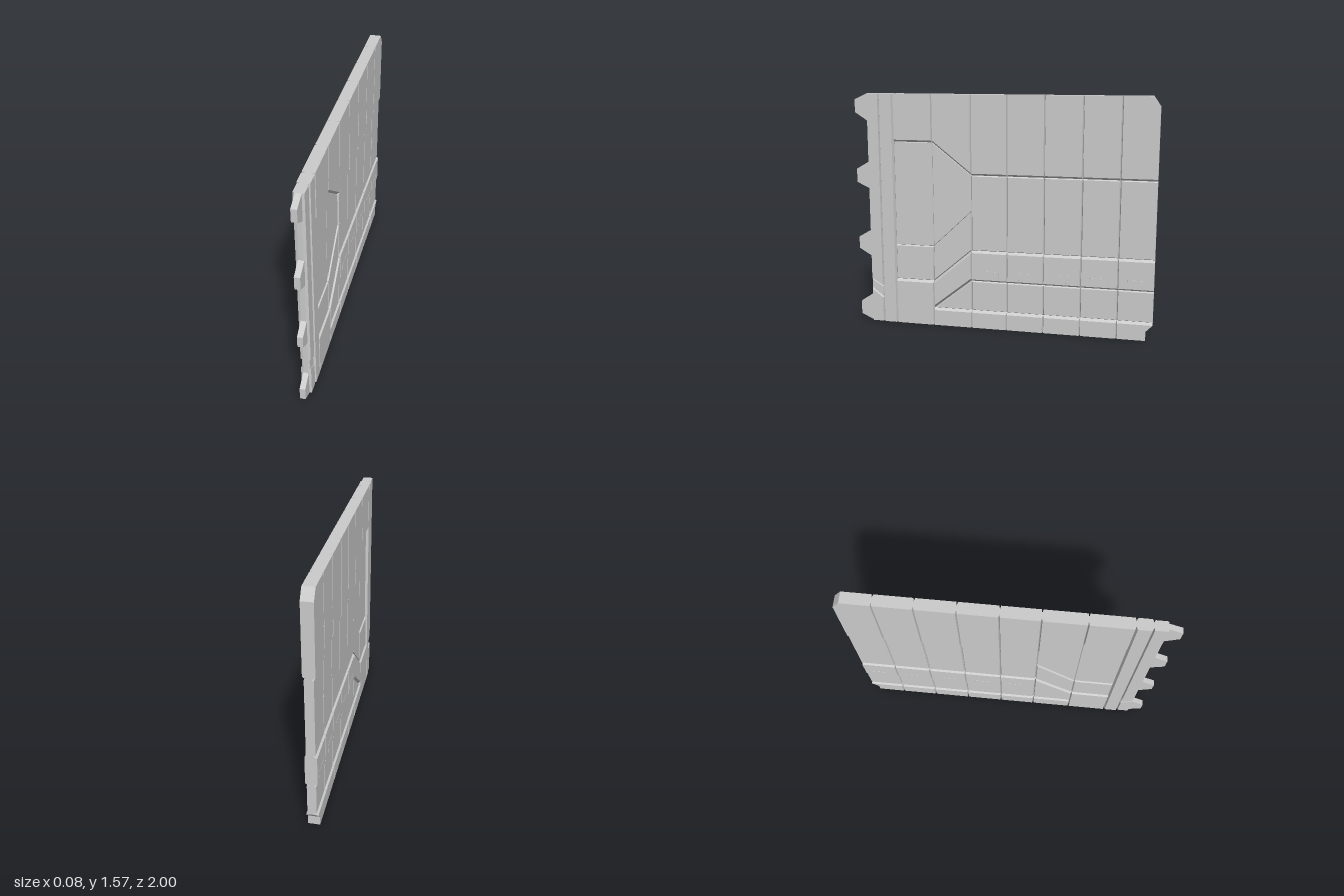
import * as THREE from 'three';

const H = 1.565;                 // door height
const CORE = 0.015, POCKET = 0.02, MID = 0.028, OUTER = 0.037; // half thicknesses
const SEAMS = [0.2, -0.04, -0.285, -0.53, -0.77, -1];          // column joints along z

const material = new THREE.MeshStandardMaterial({ color: 0xcccccc, flatShading: true });

// Edges on the outer border of the door stay square, the rest slope inward
const isBorder = (p, q) =>
  (p.x >= 0.95 && q.x >= 0.95) || (p.y === 0 && q.y === 0) || (p.y === H && q.y === H);

// Plate with sloped edges: outline in [z, y], rising from x0 to x1 on one side (s = 1 or -1)
function plateGeometry(outline, x0, x1, flat, steep, s) {
  const pts = outline.map(([z, y]) => new THREE.Vector2(-z, y));
  if (THREE.ShapeUtils.area(pts) < 0) pts.reverse();
  const n = pts.length;
  const edges = pts.map((p, i) => {
    const q = pts[(i + 1) % n];
    const d = q.clone().sub(p).normalize();
    const inset = isBorder(p, q) ? 0 : (Math.abs(d.x) < 0.01 ? steep : flat);
    return { p: new THREE.Vector2(p.x - d.y * inset, p.y + d.x * inset), d };
  });
  const top = pts.map((_, i) => {
    const a = edges[(i + n - 1) % n], b = edges[i];
    const cross = a.d.cross(b.d);
    if (Math.abs(cross) < 1e-4) return b.p.clone();
    return a.p.clone().addScaledVector(a.d, b.p.clone().sub(a.p).cross(b.d) / cross);
  });
  const out = [];
  const tri = (...v) => {
    if (s < 0) v.reverse();
    for (const [p, x] of v) out.push(s * x, p.y, -p.x);
  };
  for (const [a, b, c] of THREE.ShapeUtils.triangulateShape(top, [])) {
    tri([top[a], x1], [top[b], x1], [top[c], x1]);
  }
  for (let i = 0; i < n; i++) {
    const j = (i + 1) % n;
    tri([pts[i], x0], [pts[j], x0], [top[j], x1]);
    tri([pts[i], x0], [top[j], x1], [top[i], x1]);
  }
  const g = new THREE.BufferGeometry();
  g.setAttribute('position', new THREE.Float32BufferAttribute(out, 3));
  g.computeVertexNormals();
  return g;
}

const rect = (z0, z1, y0, y1) => [[z0, y0], [z0, y1], [z1, y1], [z1, y0]];

export function createModel() {
  const door = new THREE.Group();
  door.name = 'slidingDoor';

  // Adds the same plate to both faces of the door
  function plate(name, outline, x0, x1, flat = 0, steep = flat) {
    for (const s of [1, -1]) {
      const mesh = new THREE.Mesh(plateGeometry(outline, x0, x1, flat, steep, s), material);
      mesh.name = name;
      door.add(mesh);
    }
  }
  const outer = (name, o, steep = 0.005) => plate(name, o, CORE, OUTER, 0.014, steep);
  const mid = (name, o) => plate(name, o, CORE, MID, 0.006, 0.006);

  // Core with clipped rear corners
  plate('core', [[0.915, 0], [0.915, H], [-0.955, H], [-1, 1.5], [-1, 0.11], [-0.955, 0.06], [-0.955, 0]], 0, CORE);

  // Interlocking teeth on the front edge
  for (const [a, b, c, d] of [[1.385, 1.44, 1.525, H], [0.93, 0.97, 1.06, 1.11], [0.46, 0.51, 0.59, 0.64], [0, 0.04, 0.13, 0.185]]) {
    plate('tooth', [[0.915, a], [1, b], [1, c], [0.915, d]], 0, 0.018);
  }

  // Front edge strip, broken by a slanted notch near the bottom
  plate('edgeStripLower', [[0.915, 0], [0.915, 0.235], [0.83, 0.17], [0.83, 0]], CORE, 0.032, 0.005);
  plate('edgeStripNotch', [[0.915, 0.235], [0.915, 0.3], [0.83, 0.25], [0.83, 0.17]], CORE, 0.025, 0.005);
  plate('edgeStripUpper', [[0.915, 0.3], [0.915, H], [0.83, H], [0.83, 0.25]], CORE, 0.032, 0.005);
  outer('frontPost', rect(0.83, 0.73, 0, H), 0.009);

  // Panels around the pocket
  outer('upperPanel', rect(0.73, 0.465, 1.25, H));
  outer('upperPanel', [[0.465, 1.25], [0.465, H], [0.2, H], [0.2, 1.04]]);
  outer('lowerPanel', rect(0.73, 0.465, 0, 0.31));
  outer('slantedLedge', [[0.465, 0.12], [0.465, 0.31], [0.2, 0.535], [0.2, 0.33]]);
  outer('sill', rect(0.465, 0.2, 0, 0.12));

  // Deep pocket floor and the step below it
  const pocket = [rect(0.73, 0.465, 0.55, 1.25), [[0.465, 0.55], [0.465, 1.25], [0.2, 1.04], [0.2, 0.8]]];
  for (const o of pocket) plate('pocketFloor', o, CORE, POCKET, 0.003);
  mid('pocketStep', rect(0.73, 0.465, 0.31, 0.55));
  mid('pocketStep', [[0.465, 0.31], [0.465, 0.55], [0.2, 0.8], [0.2, 0.535]]);
  mid('lowerRecess', [[0.465, 0.12], [0.2, 0.33], [0.2, 0.12]]);

  // Columns of panels toward the rear edge
  for (let i = 0; i < SEAMS.length - 1; i++) {
    const a = SEAMS[i], b = SEAMS[i + 1], last = b === -1;
    outer('upperPanel', last ? [[a, 1.04], [a, H], [-0.955, H], [-1, 1.5], [-1, 1.04]] : rect(a, b, 1.04, H));
    mid('centrePanel', rect(a, b, 0.535, 1.04));
    outer('ledge', rect(a, b, 0.325, 0.535));
    mid('lowerRecess', rect(a, b, 0.12, 0.325));
    outer('sill', last ? [[a, 0], [a, 0.12], [-1, 0.12], [-1, 0.11], [-0.955, 0.06], [-0.955, 0]] : rect(a, b, 0, 0.12));

    // Raised pad on each ledge
    const z = 0.13 - i * 0.24;
    plate('ledgePad', rect(z, z - 0.118, 0.35, 0.4), OUTER - 0.002, OUTER + 0.001, 0.001);
  }

  // Rivets beside the seams
  const rivet = new THREE.CylinderGeometry(0.005, 0.005, 0.006, 6).rotateZ(Math.PI / 2);
  for (const z of SEAMS.slice(0, -1)) {
    for (const [y, x] of [[1.25, OUTER], [1.16, OUTER], [1.065, OUTER], [0.8, MID], [0.515, OUTER], [0.345, OUTER], [0.09, OUTER]]) {
      for (const s of [1, -1]) {
        const mesh = new THREE.Mesh(rivet, material);
        mesh.name = 'rivet';
        mesh.position.set(s * (x - 0.001), y, z - 0.012);
        door.add(mesh);
      }
    }
  }
  return door;
}
